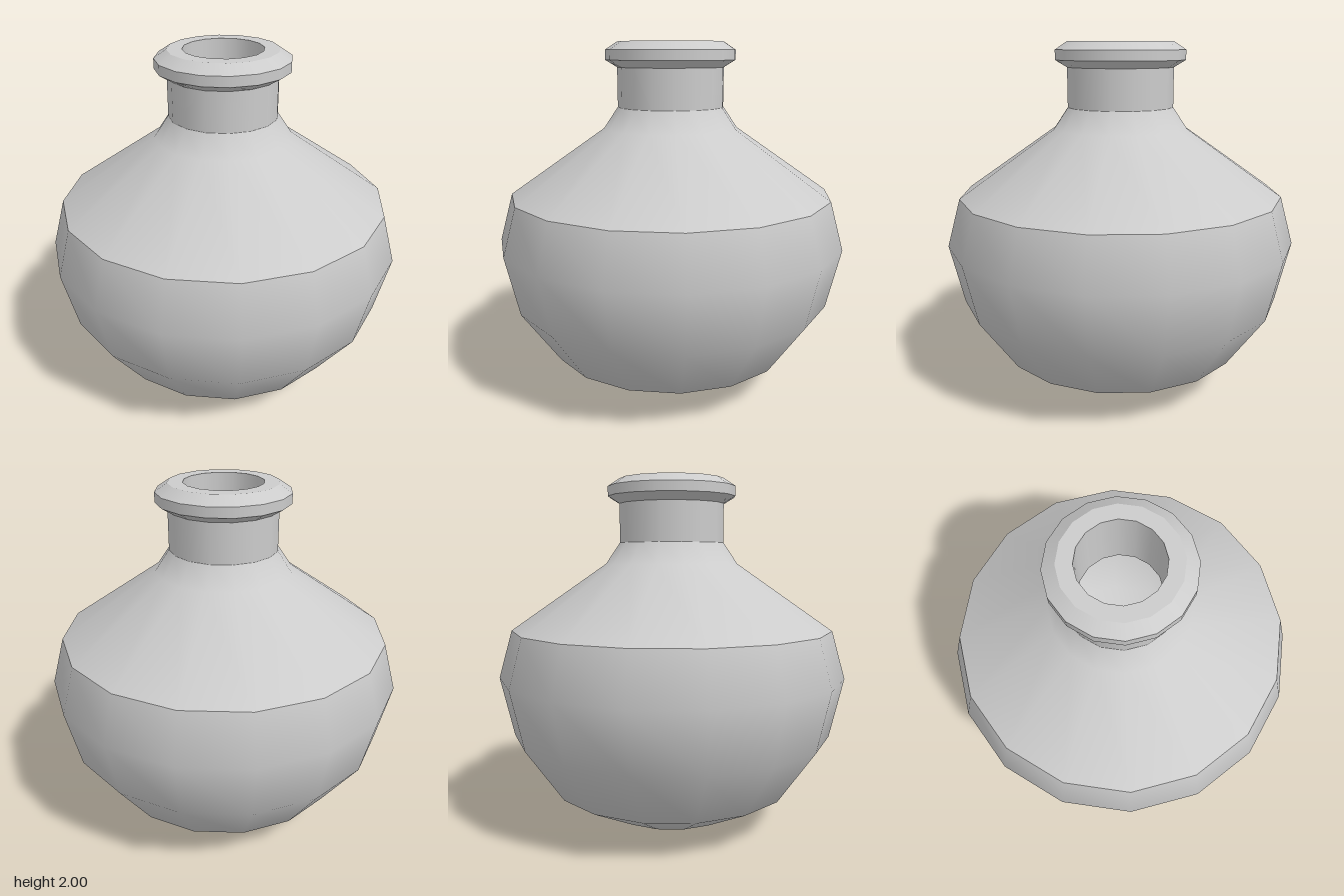
import * as THREE from 'three';

const SIDES = 16;

export function createModel() {
  const group = new THREE.Group();
  group.name = 'bottle';
  const material = new THREE.MeshStandardMaterial({ color: 0xcccccc, side: THREE.DoubleSide });

  // Smooth within one profile, sharp where two profiles meet
  const turn = (name, profile) => {
    const points = profile.map(([r, y]) => new THREE.Vector2(r, y));
    const mesh = new THREE.Mesh(new THREE.LatheGeometry(points, SIDES), material);
    mesh.name = name;
    group.add(mesh);
  };

  // Round belly, shoulder cone with a flared foot, straight neck
  turn('belly', [[0, 0], [0.383, 0.05], [0.707, 0.22], [0.924, 0.535], [1, 0.875], [0.924, 1.145]]);
  turn('shoulder', [[0.924, 1.145], [0.383, 1.52], [0.302, 1.64]]);
  turn('neck', [[0.302, 1.64], [0.302, 1.87]]);

  // Bevelled lip, one hard-edged band at a time
  const lip = [[0.302, 1.86], [0.368, 1.9], [0.368, 1.955], [0.3, 2], [0.218, 2]];
  const bands = ['lipUnderside', 'lipEdge', 'lipBevel', 'lipTop'];
  bands.forEach((name, i) => turn(name, [lip[i], lip[i + 1]]));

  // Inside of the neck and the hollow belly, running downwards
  turn('throat', [[0.218, 2], [0.218, 1.64]]);
  turn('innerWall', [
    [0.218, 1.64], [0.32, 1.48], [0.85, 1.12], [0.93, 0.875],
    [0.86, 0.56], [0.66, 0.27], [0.36, 0.11], [0, 0.06],
  ]);

  return group;
}
